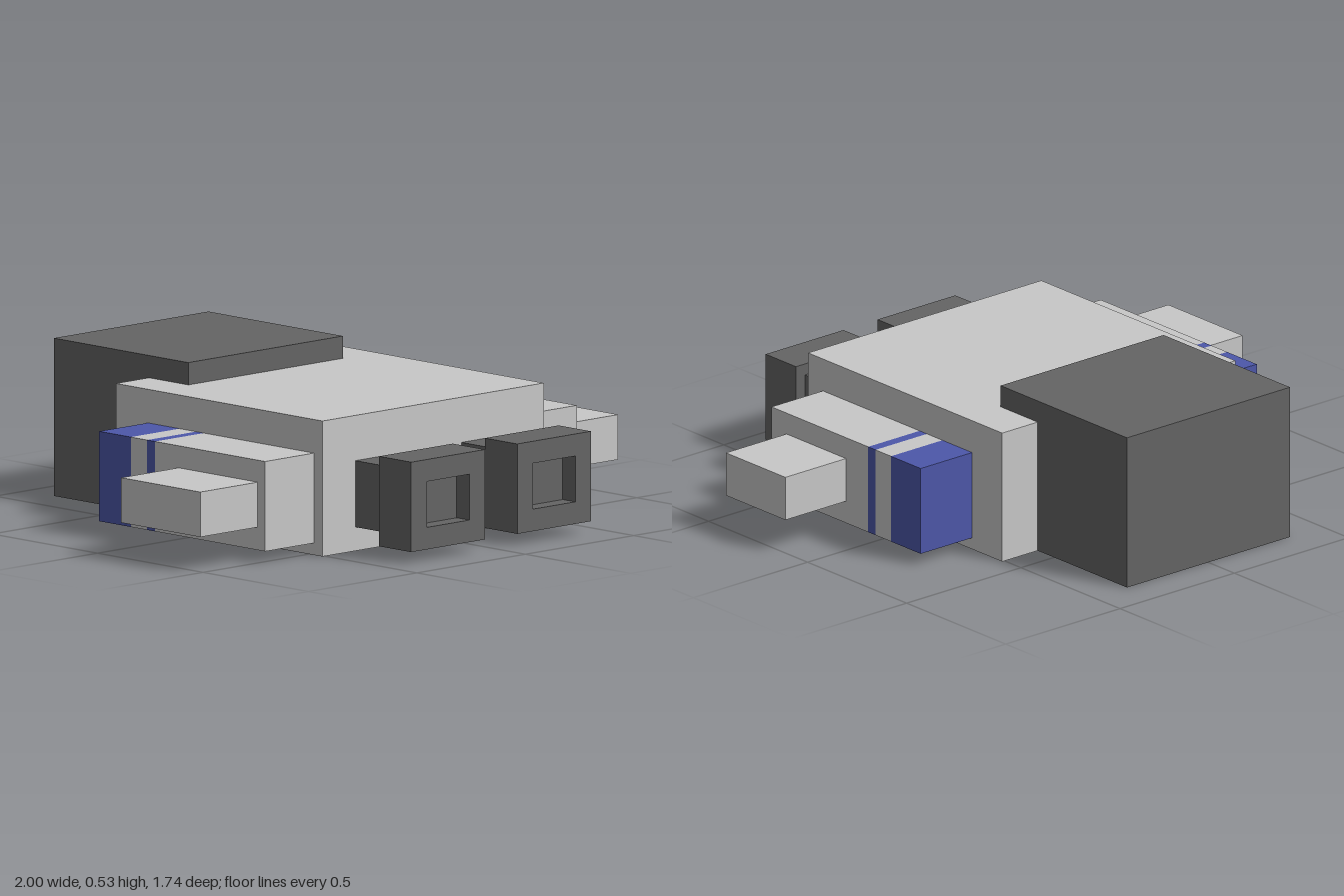
import * as THREE from 'three';

const mat = (name, color) => Object.assign(new THREE.MeshStandardMaterial({ color }), { name });

export function createModel() {
  const model = new THREE.Group();
  const lightGrey = mat('lightGrey', 0xc8c8c8);
  const darkGrey = mat('darkGrey', 0x646464);
  const blue = mat('blue', 0x4d57a9);

  // Box given by its limits on each axis
  const box = (name, material, [x0, x1], [y0, y1], [z0, z1]) => {
    const mesh = new THREE.Mesh(new THREE.BoxGeometry(x1 - x0, y1 - y0, z1 - z0), material);
    mesh.position.set((x0 + x1) / 2, (y0 + y1) / 2, (z0 + z1) / 2);
    mesh.name = name;
    model.add(mesh);
    return mesh;
  };

  // Main hull
  box('body', lightGrey, [-0.51, 0.51], [0, 0.455], [-0.417, 0.563]);

  // Rear engine block, with a lip lying over the hull
  const profile = new THREE.Shape([
    [0.868, 0], [0.868, 0.53], [0.23, 0.53], [0.23, 0.455], [0.417, 0.455], [0.417, 0],
  ].map(([z, y]) => new THREE.Vector2(z, y)));
  const engine = new THREE.Mesh(
    new THREE.ExtrudeGeometry(profile, { depth: 0.713, bevelEnabled: false }), darkGrey);
  engine.name = 'engineBlock';
  engine.rotation.y = Math.PI / 2; // profile runs towards -z
  engine.position.x = -0.358;
  model.add(engine);

  // Side pods with blue bands and outer arms; the right side is a little longer
  const podY = [0.04, 0.342];
  for (const [side, s, podFront, armFront] of [['left', 1, 0.488, 0.412], ['right', -1, 0.522, 0.487]]) {
    const span = (a, b) => (s > 0 ? [a, b] : [-b, -a]);
    const x = span(0.51, 0.735);
    box(side + 'PodRearBand', blue, x, podY, [-0.265, -0.115]);
    box(side + 'PodMiddle', lightGrey, x, podY, [-0.115, -0.037]);
    box(side + 'PodNarrowBand', blue, x, podY, [-0.037, 0]);
    box(side + 'PodFront', lightGrey, x, podY, [0, podFront]);
    box(side + 'Arm', lightGrey, span(0.735, 1), [0.117, 0.268], [0.112, armFront]);
  }

  // Front guns: a neck and a muzzle with a shallow square recess
  for (const [side, cx] of [['left', 0.261], ['right', -0.228]]) {
    box(side + 'Neck', darkGrey, [cx - 0.131, cx + 0.131], [0.08, 0.303], [0.563, 0.715]);
    box(side + 'MuzzleBase', darkGrey, [cx - 0.17, cx + 0.17], podY, [0.715, 0.808]);
    const rim = new THREE.Shape([[-0.17, -0.151], [0.17, -0.151], [0.17, 0.151], [-0.17, 0.151]]
      .map((p) => new THREE.Vector2(...p)));
    rim.holes.push(new THREE.Path([[-0.098, -0.077], [-0.098, 0.077], [0.098, 0.077], [0.098, -0.077]]
      .map((p) => new THREE.Vector2(...p))));
    const muzzle = new THREE.Mesh(
      new THREE.ExtrudeGeometry(rim, { depth: 0.06, bevelEnabled: false }), darkGrey);
    muzzle.name = side + 'MuzzleRim';
    muzzle.position.set(cx, 0.191, 0.808);
    model.add(muzzle);
  }

  return model;
}
